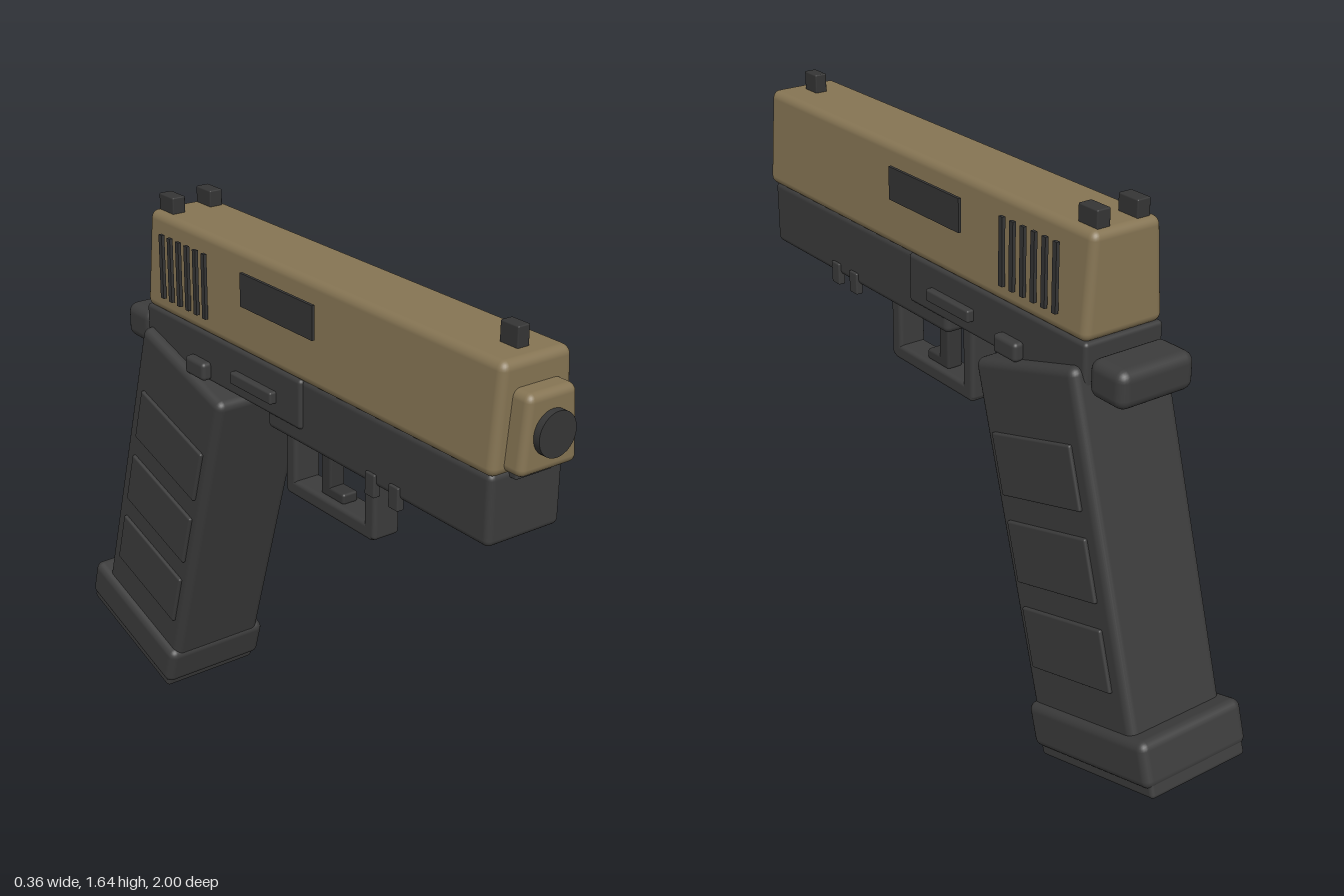
import * as THREE from 'three';
import { RoundedBoxGeometry } from 'three/addons/geometries/RoundedBoxGeometry.js';

const tan = new THREE.MeshStandardMaterial({ color: 0x857453 });
tan.name = 'slide tan';
const grey = new THREE.MeshStandardMaterial({ color: 0x3c3c3c });
grey.name = 'frame grey';
const dark = new THREE.MeshStandardMaterial({ color: 0x353535 });
dark.name = 'metal grey';

// Rounded box given by its limits on each axis; topScale narrows the top in x
function block(parent, name, mat, [x0, x1], [y0, y1], [z0, z1], r = 0.01, topScale = 1) {
  const w = x1 - x0, h = y1 - y0, d = z1 - z0;
  const geo = r > 0
    ? new RoundedBoxGeometry(w, h, d, 3, Math.min(r, w / 2.1, h / 2.1, d / 2.1))
    : new THREE.BoxGeometry(w, h, d);
  if (topScale !== 1) {
    const p = geo.attributes.position, n = geo.attributes.normal;
    const slope = (w / 2) * (1 - topScale) / h;
    for (let i = 0; i < p.count; i++) {
      const t = p.getY(i) / h + 0.5;
      p.setX(i, p.getX(i) * (1 + (topScale - 1) * t));
      const v = new THREE.Vector3(n.getX(i), n.getY(i) + Math.abs(n.getX(i)) * slope, n.getZ(i)).normalize();
      n.setXYZ(i, v.x, v.y, v.z);
    }
  }
  const mesh = new THREE.Mesh(geo, mat);
  mesh.name = name;
  mesh.position.set((x0 + x1) / 2, (y0 + y1) / 2, (z0 + z1) / 2);
  parent.add(mesh);
  return mesh;
}

// The same block on both sides
function pair(parent, name, mat, [a, b], ys, zs, r) {
  block(parent, name + 'Left', mat, [a, b], ys, zs, r);
  block(parent, name + 'Right', mat, [-b, -a], ys, zs, r);
}

function part(parent, name) {
  const g = new THREE.Group();
  g.name = name;
  parent.add(g);
  return g;
}

function createModel() {
  const model = new THREE.Group();
  model.name = 'pistol';

  // Slide and nose
  const slide = part(model, 'slide');
  block(slide, 'slideBody', tan, [-0.132, 0.132], [1.3, 1.592], [-0.63, 0.922], 0.025, 0.83);
  block(slide, 'nose', tan, [-0.095, 0.095], [1.312, 1.522], [0.86, 0.98], 0.022, 0.8);
  const muzzle = new THREE.Mesh(new THREE.CylinderGeometry(0.06, 0.06, 0.1, 32), dark);
  muzzle.name = 'muzzle';
  muzzle.rotation.x = Math.PI / 2;
  muzzle.position.set(0, 1.415, 0.95);
  slide.add(muzzle);
  block(slide, 'guideRod', grey, [-0.06, 0.06], [1.285, 1.312], [0.85, 0.93], 0.005);

  // Side ports and grooves
  pair(slide, 'port', dark, [0.134, 0.143], [1.443, 1.54], [-0.11, 0.223], 0);
  for (let i = 0; i < 6; i++) {
    const z = -0.296 - i * 0.0445;
    pair(slide, 'groove' + (i + 1), dark, [0.134, 0.144], [1.352, 1.545], [z - 0.008, z + 0.008], 0);
  }

  // Sights
  block(slide, 'frontSight', dark, [-0.019, 0.019], [1.57, 1.647], [0.803, 0.867], 0.004);
  pair(slide, 'rearSight', dark, [0.043, 0.086], [1.57, 1.64], [-0.61, -0.535], 0.004);

  // Frame
  const frame = part(model, 'frame');
  block(frame, 'dustCover', grey, [-0.12, 0.12], [1.108, 1.305], [-0.02, 0.908], 0.018);
  block(frame, 'rearFrame', grey, [-0.13, 0.13], [1.157, 1.304], [-0.632, 0.152], 0.012);
  block(frame, 'beavertail', grey, [-0.124, 0.124], [1.16, 1.268], [-0.768, -0.632], 0.03);
  block(frame, 'tailNeck', grey, [-0.1, 0.1], [1.18, 1.25], [-0.66, -0.6], 0.01);
  for (const z of [0.455, 0.553]) {
    pair(frame, 'railNotch', grey, [0.105, 0.128], [1.078, 1.145], [z - 0.02, z + 0.02], 0.004);
  }
  pair(frame, 'slideStop', grey, [0.125, 0.151], [1.2, 1.236], [-0.16, 0.04], 0.006);
  pair(frame, 'magazineRelease', grey, [0.125, 0.16], [1.165, 1.22], [-0.382, -0.284], 0.012);

  // Trigger guard and trigger
  const guard = part(model, 'triggerGuard');
  block(guard, 'guardFront', grey, [-0.045, 0.045], [0.885, 1.15], [0.328, 0.376], 0.012);
  block(guard, 'guardBottom', grey, [-0.045, 0.045], [0.88, 0.928], [-0.034, 0.366], 0.012);
  block(guard, 'guardRear', grey, [-0.045, 0.045], [0.885, 1.16], [-0.036, 0.012], 0.012);
  block(guard, 'trigger', dark, [-0.026, 0.026], [0.93, 1.15], [0.108, 0.154], 0.008);
  block(guard, 'triggerToe', dark, [-0.026, 0.026], [0.925, 0.958], [0.108, 0.214], 0.008);

  // Raked grip, built downward from its top centre
  const grip = part(model, 'grip');
  grip.position.set(0, 1.176, -0.408);
  grip.rotation.x = 0.29;
  block(grip, 'gripBody', grey, [-0.16, 0.16], [-1.04, 0.002], [-0.218, 0.218], 0.025);
  for (let i = 0; i < 3; i++) {
    const y = -0.292 - i * 0.253;
    pair(grip, 'gripPanel' + (i + 1), grey, [0.15, 0.17], [y - 0.09, y + 0.09], [-0.165, 0.179], 0.006);
  }
  block(grip, 'basePlate', grey, [-0.18, 0.18], [-1.135, -1.0], [-0.28, 0.224], 0.025);
  block(grip, 'baseCap', grey, [-0.167, 0.167], [-1.163, -1.09], [-0.276, 0.208], 0.012);

  return model;
}

export { createModel };
